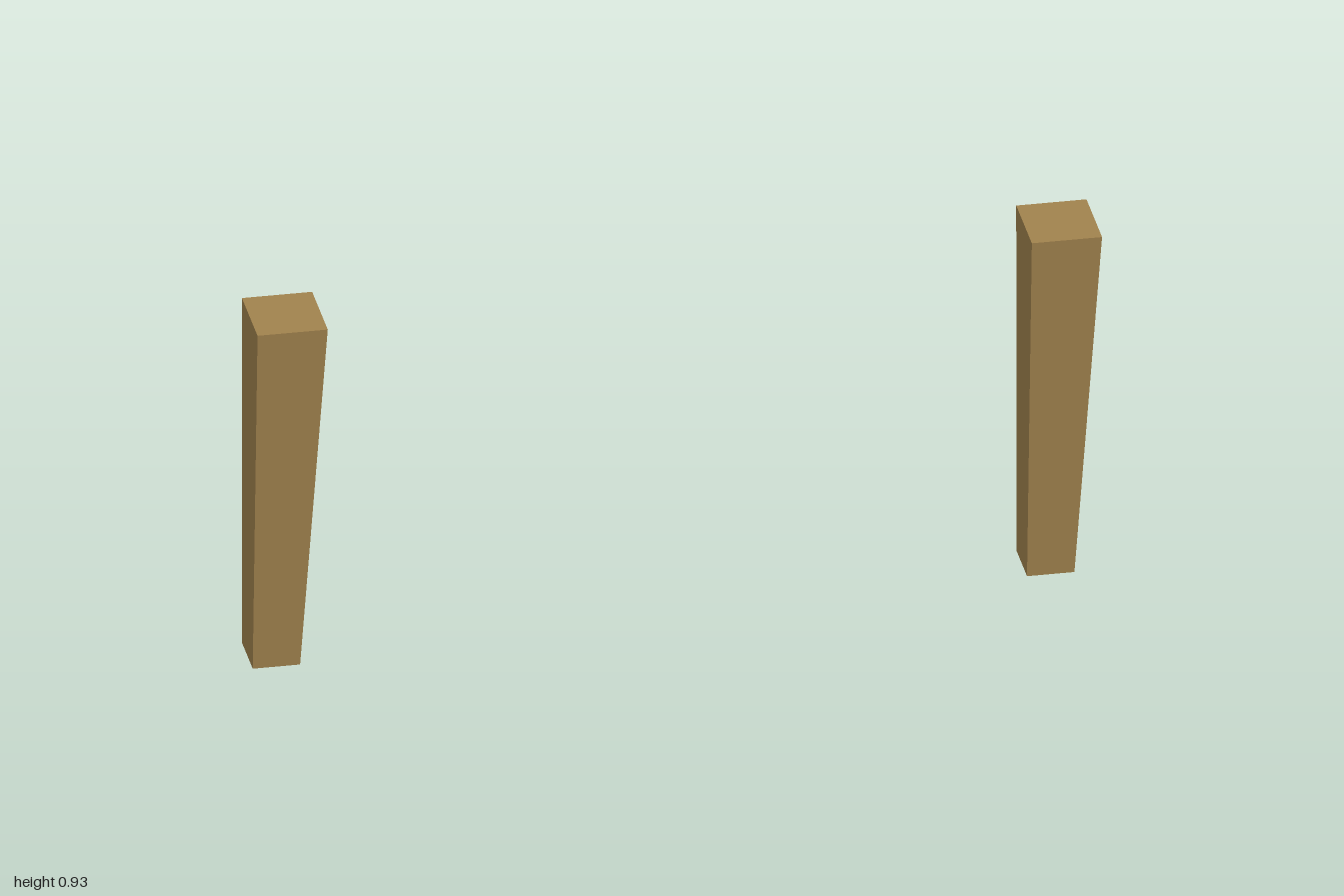
import * as THREE from 'three';

const LENGTH = 0.926;
const TOP = 0.166;
const BOTTOM = 0.112;
const TILT = THREE.MathUtils.degToRad(-2);

// Square post that narrows towards the floor
function taperedPost() {
  const geometry = new THREE.BoxGeometry(TOP, LENGTH, TOP);
  const p = geometry.attributes.position;
  for (let i = 0; i < p.count; i++) {
    if (p.getY(i) < 0) {
      p.setX(i, p.getX(i) * BOTTOM / TOP);
      p.setZ(i, p.getZ(i) * BOTTOM / TOP);
    }
  }
  geometry.computeVertexNormals();
  return geometry;
}

export function createModel() {
  const model = new THREE.Group();
  model.name = 'legPair';

  const wood = new THREE.MeshStandardMaterial({ color: 0xa0824d });
  wood.name = 'wood';

  // Both legs lean the same way
  const geometry = taperedPost();
  for (const [name, x] of [['rightLeg', -0.928], ['leftLeg', 0.901]]) {
    const leg = new THREE.Mesh(geometry, wood);
    leg.name = name;
    leg.position.set(x, 0.465, 0);
    leg.rotation.z = TILT;
    model.add(leg);
  }
  return model;
}
